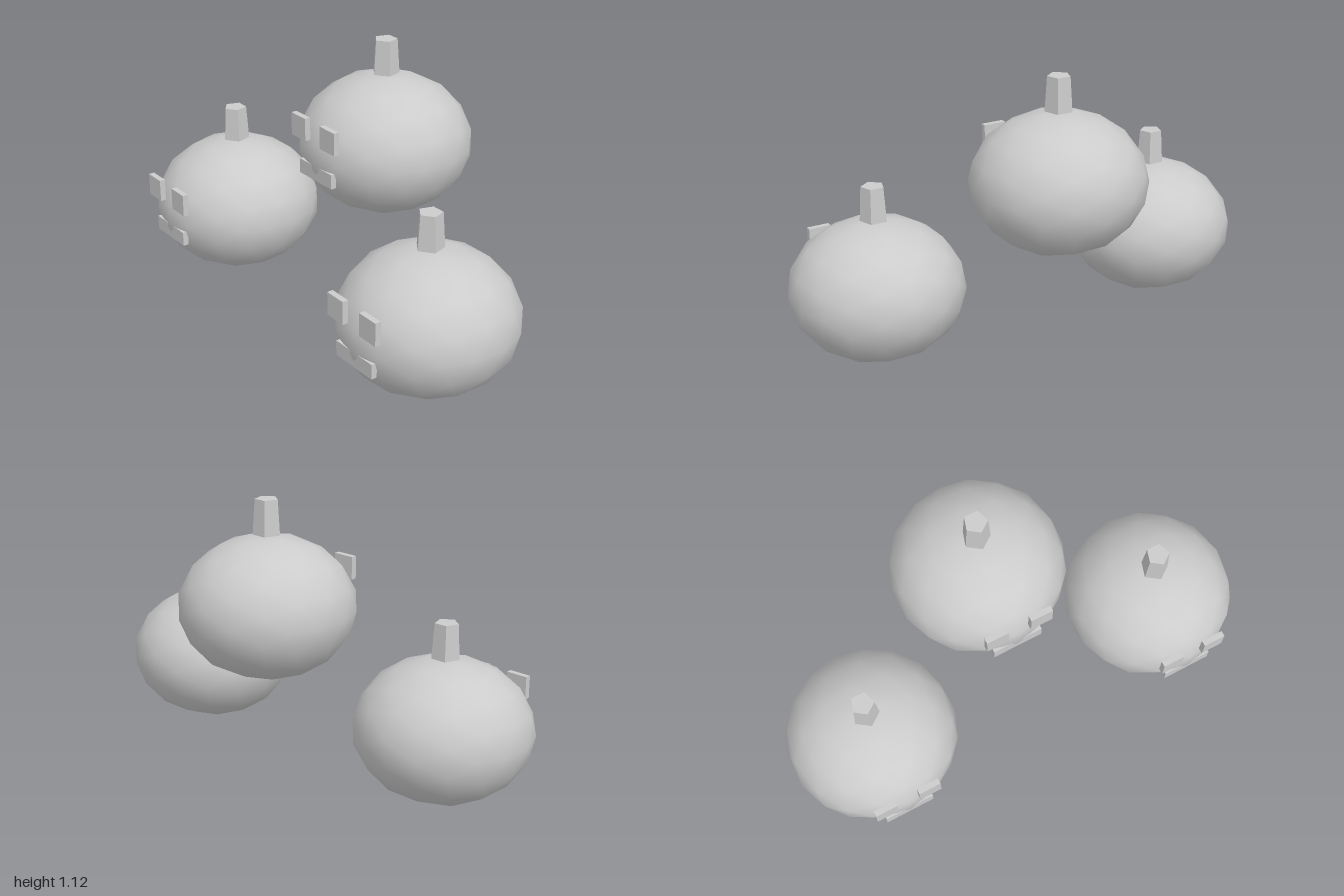
import * as THREE from 'three';

const smooth = new THREE.MeshStandardMaterial({ color: 0xcccccc });
const flat = new THREE.MeshStandardMaterial({ color: 0xcccccc, flatShading: true });

function addPart(parent, name, geometry, material, x, y, z) {
  const mesh = new THREE.Mesh(geometry, material);
  mesh.name = name;
  mesh.position.set(x, y, z);
  parent.add(mesh);
  return mesh;
}

// One carved pumpkin, with its origin at the centre of the body
function createPumpkin(name) {
  const pumpkin = new THREE.Group();
  pumpkin.name = name;

  // Squashed round body
  const body = new THREE.IcosahedronGeometry(0.353, 2).scale(1, 0.802, 1);
  addPart(pumpkin, 'body', body, smooth, 0, 0, 0);

  // Five-sided tapered stem, just above the body
  addPart(pumpkin, 'stem', new THREE.CylinderGeometry(0.047, 0.056, 0.14, 5), flat, 0, 0.357, 0);

  // Square eyes
  for (const side of [-1, 1]) {
    addPart(pumpkin, side > 0 ? 'leftEye' : 'rightEye',
      new THREE.BoxGeometry(0.093, 0.093, 0.024), flat, side * 0.095, 0.11, 0.343);
  }

  // Wide mouth, half sunk into the body
  addPart(pumpkin, 'mouth', new THREE.BoxGeometry(0.21, 0.06, 0.024), flat, 0, -0.061, 0.331);
  return pumpkin;
}

export function createModel() {
  const group = new THREE.Group();
  group.name = 'pumpkins';
  const places = [
    ['leftPumpkin', 0.652, 0.279, 0.147],
    ['rightPumpkin', -0.652, 0.279, 0.147],
    ['upperPumpkin', 0, 0.696, -0.153],
  ];
  for (const [name, x, y, z] of places) {
    const pumpkin = createPumpkin(name);
    pumpkin.position.set(x, y, z);
    group.add(pumpkin);
  }
  return group;
}
